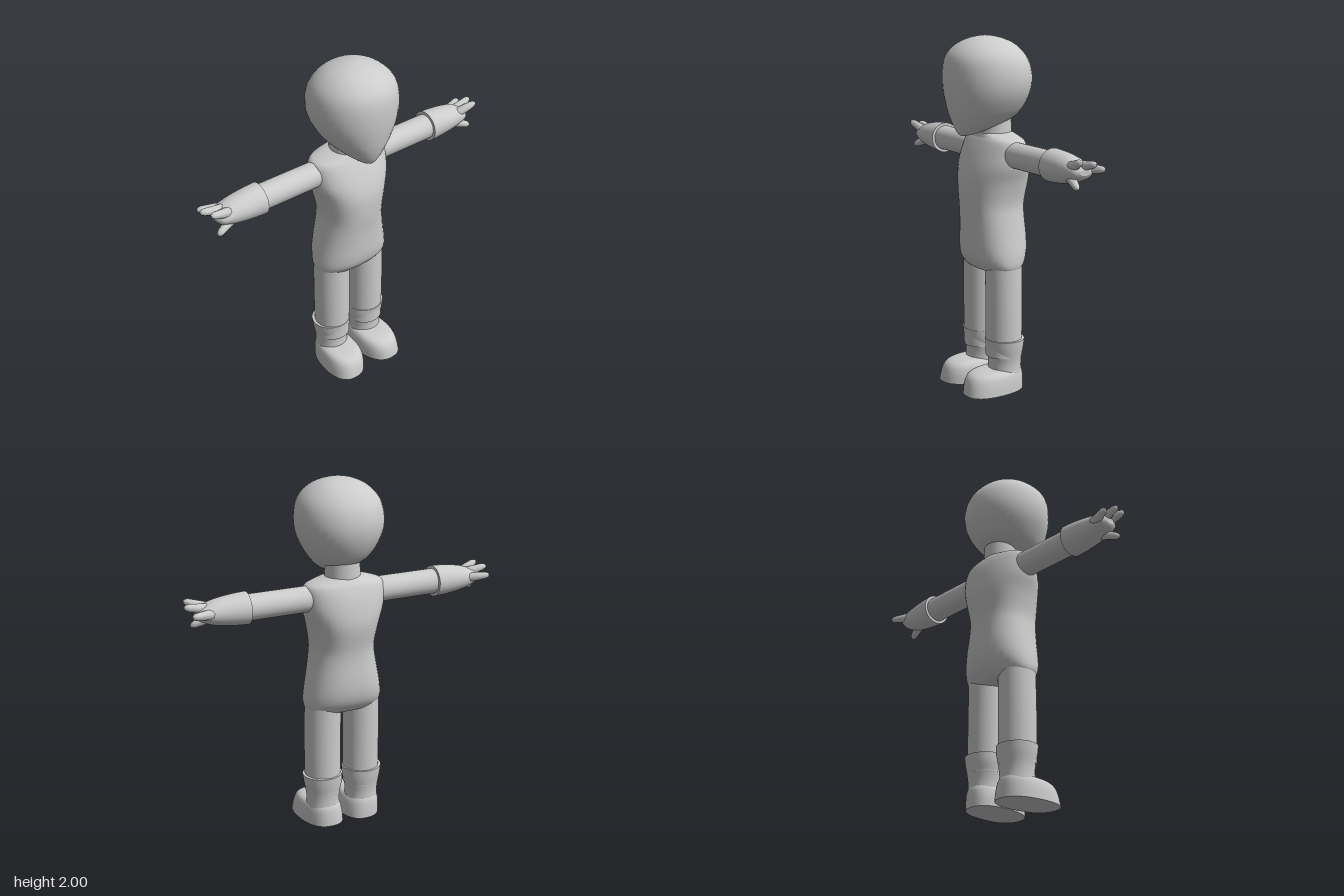
import * as THREE from 'three';

const grey = new THREE.MeshStandardMaterial({ color: 0xcccccc });
grey.name = 'plainGrey';

// Cubic interpolation between cross-section rows
function smoothRows(rows, steps) {
  const out = [];
  for (let i = 0; i < rows.length - 1; i++) {
    const a = rows[Math.max(i - 1, 0)], b = rows[i], c = rows[i + 1], d = rows[Math.min(i + 2, rows.length - 1)];
    for (let s = 0; s < steps; s++) {
      const t = s / steps;
      out.push(b.map((v, k) => v + 0.5 * t * (c[k] - a[k] + t * (2 * a[k] - 5 * v + 4 * c[k] - d[k] + t * (3 * (v - c[k]) + d[k] - a[k])))));
    }
  }
  out.push(rows[rows.length - 1]);
  return out;
}

// Loft of rounded sections going up y; row = [y, xMin, xMax, zBack, zFront]
function loft(rows, { power = 2, steps = 3, sides = 40, shear = 0 } = {}) {
  const rings = smoothRows(rows, steps), pos = [], idx = [];
  const round = v => Math.sign(v) * Math.abs(v) ** (2 / power);
  const addRing = ([y, x0, x1, z0, z1]) => {
    for (let j = 0; j < sides; j++) {
      const a = (j / sides) * Math.PI * 2;
      const z = (z0 + z1) / 2 + (z1 - z0) / 2 * round(Math.sin(a));
      pos.push((x0 + x1) / 2 + (x1 - x0) / 2 * round(Math.cos(a)) + shear * z * Math.max(0, 1 - y / 0.15), y, z);
    }
  };
  rings.forEach(addRing);
  for (let i = 0; i < rings.length - 1; i++) {
    for (let j = 0; j < sides; j++) {
      const a = i * sides + j, b = i * sides + (j + 1) % sides;
      idx.push(a, a + sides, b, b, a + sides, b + sides);
    }
  }
  // flat end caps with their own vertices
  [[rings[0], false], [rings[rings.length - 1], true]].forEach(([r, top]) => {
    const base = pos.length / 3;
    addRing(r);
    for (let j = 1; j < sides - 1; j++) {
      idx.push(base, base + (top ? j + 1 : j), base + (top ? j : j + 1));
    }
  });
  const g = new THREE.BufferGeometry();
  g.setAttribute('position', new THREE.Float32BufferAttribute(pos, 3));
  g.setIndex(idx);
  g.computeVertexNormals();
  return g;
}

const sym = rows => rows.map(([y, rx, zb, zf]) => [y, -rx, rx, zb, zf]);

export function createModel() {
  const model = new THREE.Group();
  model.name = 'figure';
  const add = (name, geometry, parent = model) => {
    const m = new THREE.Mesh(geometry, grey);
    m.name = name;
    parent.add(m);
    return m;
  };

  // Egg-shaped head with the chin pushed forward
  add('head', loft(sym([
    [1.455, 0.005, 0.14, 0.165], [1.465, 0.04, 0.08, 0.18], [1.5, 0.092, -0.03, 0.2],
    [1.55, 0.145, -0.145, 0.218], [1.6, 0.185, -0.195, 0.23], [1.68, 0.228, -0.232, 0.242],
    [1.76, 0.245, -0.245, 0.247], [1.84, 0.238, -0.232, 0.243], [1.9, 0.212, -0.2, 0.223],
    [1.95, 0.162, -0.15, 0.175], [1.98, 0.105, -0.09, 0.115], [1.995, 0.05, -0.035, 0.06], [2, 0.002, 0.01, 0.014],
  ]), { power: 2.1 }));

  add('neck', new THREE.CylinderGeometry(0.096, 0.102, 0.15, 32).translate(0, 1.495, -0.042));

  // Torso from crotch to shoulders
  add('torso', loft(sym([
    [0.685, 0.17, -0.1, 0.03], [0.695, 0.205, -0.137, 0.07], [0.72, 0.226, -0.16, 0.095],
    [0.76, 0.228, -0.186, 0.12], [0.82, 0.22, -0.202, 0.132], [0.9, 0.205, -0.205, 0.136],
    [1.0, 0.187, -0.2, 0.142], [1.08, 0.18, -0.203, 0.15], [1.2, 0.202, -0.222, 0.152],
    [1.29, 0.232, -0.214, 0.132], [1.37, 0.237, -0.195, 0.1], [1.425, 0.23, -0.172, 0.072],
    [1.445, 0.19, -0.158, 0.06], [1.46, 0.13, -0.145, 0.055], [1.468, 0.095, -0.135, 0.045],
  ]), { power: 2.3 }));

  for (const s of [1, -1]) {
    const side = s > 0 ? 'left' : 'right';
    const mirror = rows => rows.map(([y, x0, x1, zb, zf]) => s > 0 ? [y, x0, x1, zb, zf] : [y, -x1, -x0, zb, zf]);

    // Leg
    add(side + 'Leg', loft(mirror([
      [0.2, 0.02, 0.225, -0.137, 0.068], [0.5, 0.018, 0.228, -0.138, 0.07], [0.8, 0.016, 0.222, -0.14, 0.07],
    ])));

    // Boot shaft with a flat-topped cuff
    add(side + 'BootShaft', loft(mirror([
      [0.09, 0.028, 0.222, -0.135, 0.06], [0.14, 0.03, 0.22, -0.132, 0.055], [0.19, 0.024, 0.224, -0.135, 0.055],
      [0.25, 0.012, 0.236, -0.145, 0.066], [0.3, 0.01, 0.242, -0.15, 0.071],
    ])));

    // Boot foot, turned slightly outwards at the toe
    add(side + 'BootFoot', loft(mirror([
      [0, 0.003, 0.243, -0.15, 0.224], [0.05, 0.005, 0.241, -0.147, 0.215], [0.09, 0.013, 0.235, -0.142, 0.2],
      [0.113, 0.025, 0.225, -0.135, 0.175], [0.125, 0.04, 0.21, -0.125, 0.13], [0.13, 0.06, 0.19, -0.1, 0.06],
    ]), { power: 2.4, shear: 0.07 * s }));

    // Arm, pointing straight out
    const arm = new THREE.Group();
    arm.name = side + 'Arm';
    arm.position.set(0, 1.359, -0.05);
    model.add(arm);
    const outward = g => g.rotateZ(-s * Math.PI / 2);
    add(side + 'Sleeve', outward(new THREE.CylinderGeometry(0.072, 0.072, 0.42, 32).translate(0, 0.39, 0)), arm);

    // Glove tapering to a rounded palm
    add(side + 'Glove', outward(loft([
      [0.572, 0.089, 0.089], [0.63, 0.086, 0.087], [0.7, 0.078, 0.083], [0.76, 0.067, 0.077],
      [0.81, 0.05, 0.069], [0.84, 0.036, 0.057], [0.855, 0.015, 0.03],
    ].map(([x, ry, rz]) => [x, -ry, ry, -rz, rz]))), arm);

    // Three spread fingers and a lower thumb: base, then tip
    const digits = [
      ['FrontFinger', [0.78, 0.022, 0.032], [0.892, 0.062, 0.058]],
      ['MiddleFinger', [0.79, 0.025, -0.005], [0.913, 0.05, -0.016]],
      ['BackFinger', [0.78, 0.005, -0.045], [0.892, 0.016, -0.086]],
      ['Thumb', [0.76, -0.03, 0.025], [0.86, -0.072, 0.052]],
    ];
    for (const [name, base, tip] of digits) {
      const a = new THREE.Vector3(base[0] * s, base[1], base[2]);
      const dir = new THREE.Vector3(tip[0] * s, tip[1], tip[2]).sub(a);
      const len = dir.length();
      const profile = [[0, 0], [0.03, 0], [0.02, len - 0.015], [0.015, len], [0.008, len + 0.008], [0, len + 0.01]];
      const digit = add(side + name, new THREE.LatheGeometry(profile.map(p => new THREE.Vector2(...p)), 10), arm);
      digit.position.copy(a);
      digit.quaternion.setFromUnitVectors(new THREE.Vector3(0, 1, 0), dir.normalize());
    }
  }
  return model;
}
